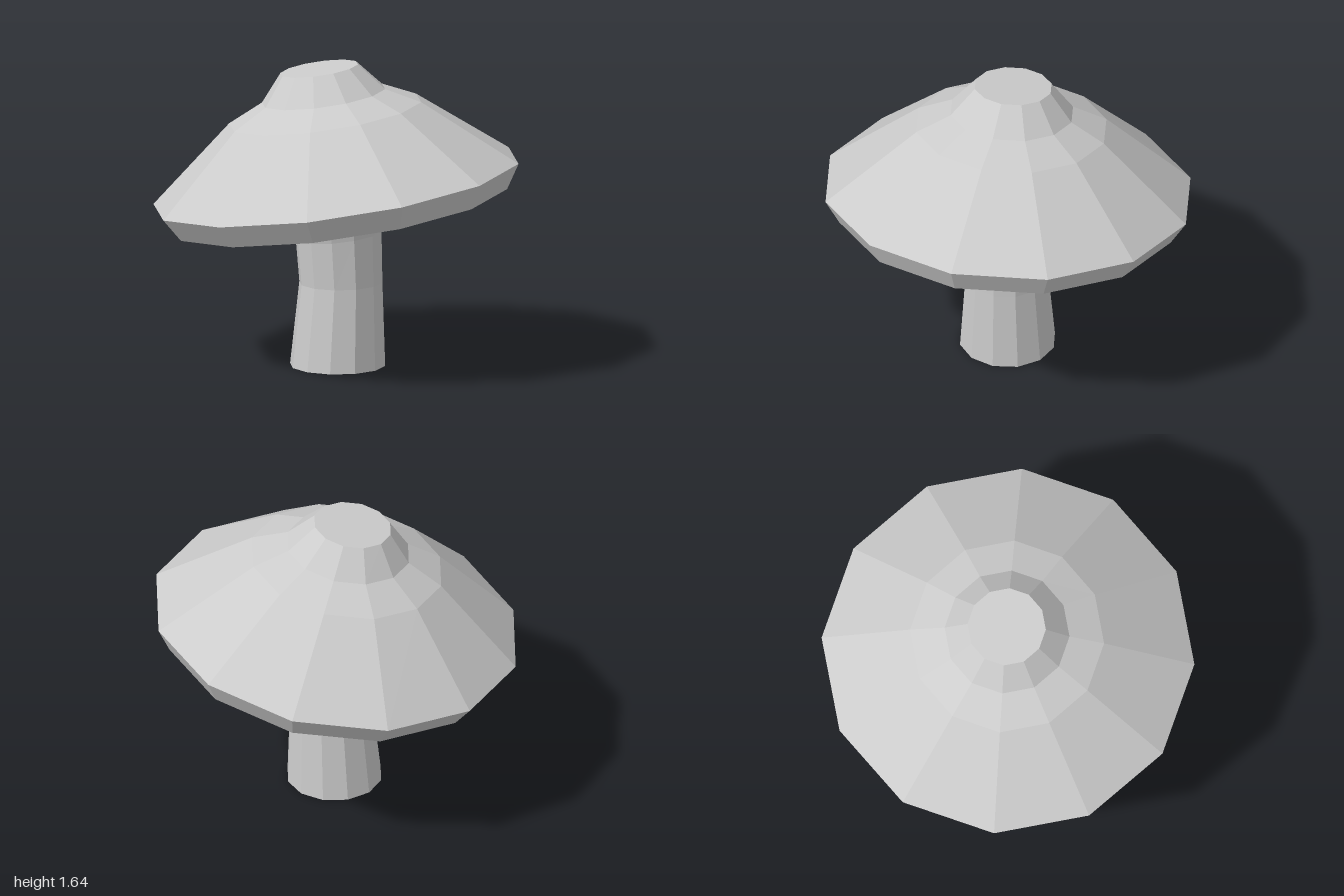
import * as THREE from 'three';

const SIDES = 12;

// Each ring: [left x, left y, right x, right y, half depth]; rings run from bottom to top.
function loft(name, rings, capBottom, capTop) {
  const positions = [];
  for (const [lx, ly, rx, ry, depth] of rings) {
    for (let i = 0; i < SIDES; i++) {
      const a = (i / SIDES) * Math.PI * 2;
      const t = (1 + Math.cos(a)) / 2;
      positions.push(lx + (rx - lx) * t, ly + (ry - ly) * t, depth * Math.sin(a));
    }
  }
  const index = [];
  for (let r = 0; r < rings.length - 1; r++) {
    for (let i = 0; i < SIDES; i++) {
      const j = (i + 1) % SIDES;
      const a = r * SIDES + i, b = r * SIDES + j;
      index.push(a, a + SIDES, b, b, a + SIDES, b + SIDES);
    }
  }
  // Flat end discs, fanned from the first corner
  const last = (rings.length - 1) * SIDES;
  for (let i = 1; i < SIDES - 1; i++) {
    if (capBottom) index.push(0, i, i + 1);
    if (capTop) index.push(last, last + i + 1, last + i);
  }
  const indexed = new THREE.BufferGeometry();
  indexed.setAttribute('position', new THREE.Float32BufferAttribute(positions, 3));
  indexed.setIndex(index);
  const geometry = indexed.toNonIndexed();
  geometry.computeVertexNormals();
  const material = new THREE.MeshStandardMaterial({ color: 0xcccccc, flatShading: true });
  const mesh = new THREE.Mesh(geometry, material);
  mesh.name = name;
  return mesh;
}

export function createModel() {
  const group = new THREE.Group();
  group.name = 'mushroom';

  // Slightly bent stem, flaring to meet the tilted underside of the cap
  group.add(loft('stem', [
    [-0.25, 0, 0.265, 0, 0.26],
    [-0.2, 0.45, 0.25, 0.455, 0.225],
    [-0.22, 0.685, 0.245, 0.735, 0.235],
    [-0.267, 0.819, 0.25, 0.893, 0.26],
  ], true, false));

  // Tilted cap: underside, rim, shoulder, neck and flat crown
  group.add(loft('cap', [
    [-0.89, 0.73, 0.925, 0.99, 0.92],
    [-0.99, 0.845, 0.987, 1.13, 1.0],
    [-0.58, 1.3, 0.46, 1.45, 0.52],
    [-0.402, 1.42, 0.265, 1.515, 0.335],
    [-0.302, 1.585, 0.117, 1.645, 0.21],
  ], true, true));

  return group;
}
